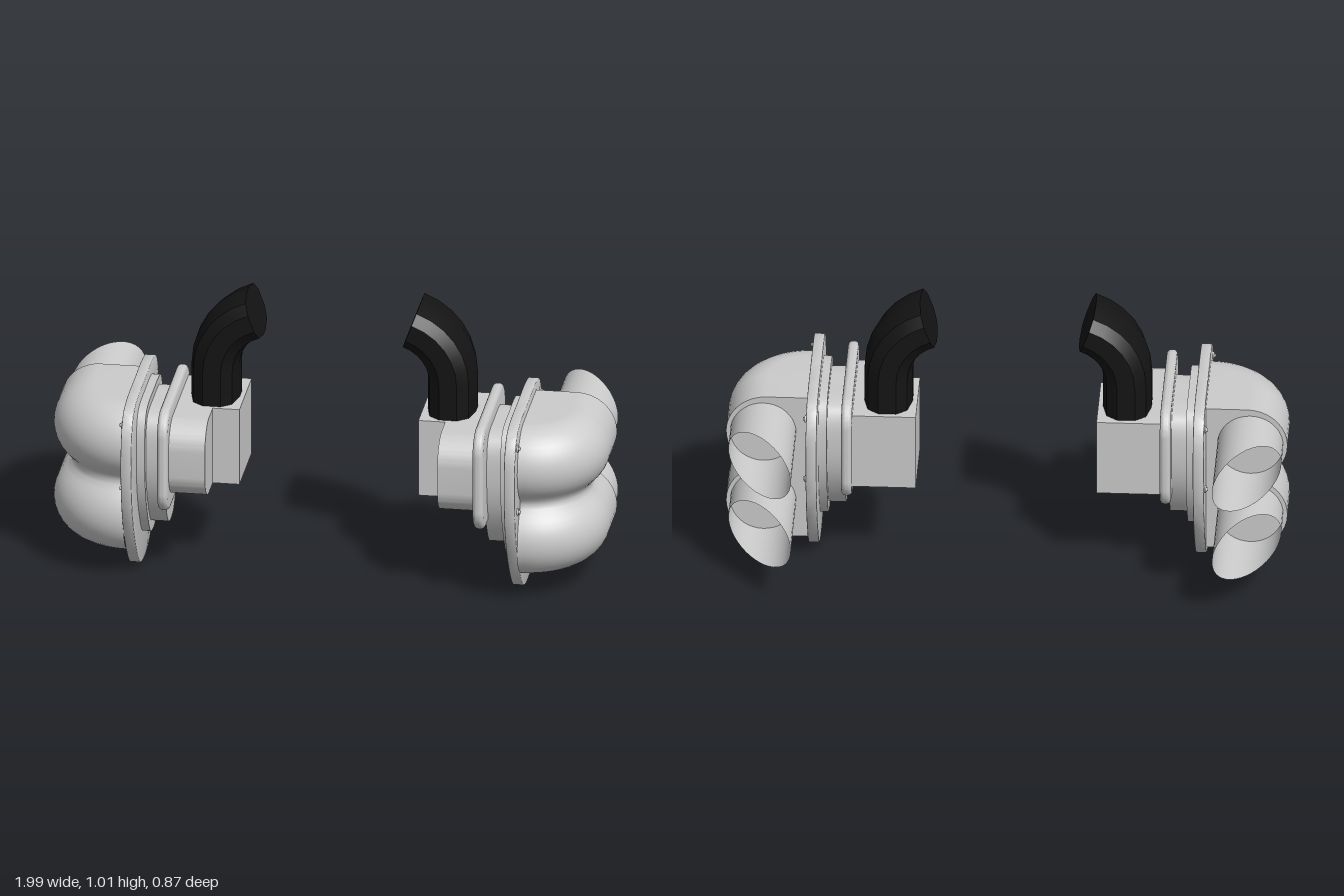
import * as THREE from 'three';
import { toCreasedNormals } from 'three/addons/utils/BufferGeometryUtils.js';

const grey = new THREE.MeshStandardMaterial({ color: 0xcccccc });
const greyThin = new THREE.MeshStandardMaterial({ color: 0xcccccc, side: THREE.DoubleSide });
const black = new THREE.MeshStandardMaterial({ color: 0x141414 });

function add(group, name, geometry, material = grey) {
  const mesh = new THREE.Mesh(geometry, material);
  mesh.name = name;
  group.add(mesh);
  return mesh;
}

// Skin between rows of points
function loft(rows) {
  const n = rows[0].length, index = [];
  for (let i = 0; i < rows.length - 1; i++) {
    for (let j = 0; j < n - 1; j++) {
      const a = i * n + j, b = a + n;
      index.push(a, b, b + 1, a, b + 1, a + 1);
    }
  }
  const g = new THREE.BufferGeometry().setFromPoints(rows.flat());
  g.setIndex(index);
  return g;
}

// Extrude an outline (drawn with shape x = -z) along x from x0 to x1
function slab(shape, x0, x1, bevel = 0) {
  const g = new THREE.ExtrudeGeometry(shape, {
    depth: x1 - x0 - 2 * bevel, bevelEnabled: bevel > 0, bevelSize: bevel,
    bevelThickness: bevel, bevelOffset: -bevel, bevelSegments: 4, curveSegments: 10,
  });
  g.translate(0, 0, x0 + bevel).rotateY(Math.PI / 2);
  return toCreasedNormals(g, 0.6);
}

// Shield outline, wide at the top and tapering to the bottom
function shield(halfWidth, y0, y1, zMid) {
  const half = [[0, 0], [0.1, 0.015], [0.165, 0.065], [0.27, 0.215], [0.315, 0.34],
    [0.327, 0.48], [0.312, 0.6], [0.265, 0.66], [0.19, 0.678], [0, 0.68]];
  const sx = halfWidth / 0.327, sy = (y1 - y0) / 0.68;
  const at = ([d, y], s) => new THREE.Vector3(s * d * sx - zMid, y0 + y * sy, 0);
  const loop = [...half.map(p => at(p, 1)), ...half.slice(1, -1).reverse().map(p => at(p, -1))];
  const curve = new THREE.CatmullRomCurve3(loop, true);
  return new THREE.Shape(curve.getPoints(72).slice(0, -1).map(p => new THREE.Vector2(p.x, p.y)));
}

// Rectangle with separate corner radii for the front (+z) and back ends
function roundRect(zBack, zFront, y0, y1, rFront, rBack) {
  const s = new THREE.Shape(), a = -zFront, b = -zBack;
  s.moveTo(a + rFront, y0);
  s.lineTo(b - rBack, y0);
  if (rBack) s.absarc(b - rBack, y0 + rBack, rBack, -Math.PI / 2, 0);
  s.lineTo(b, y1 - rBack);
  if (rBack) s.absarc(b - rBack, y1 - rBack, rBack, 0, Math.PI / 2);
  s.lineTo(a + rFront, y1);
  s.absarc(a + rFront, y1 - rFront, rFront, Math.PI / 2, Math.PI);
  s.lineTo(a, y0 + rFront);
  s.absarc(a + rFront, y0 + rFront, rFront, Math.PI, Math.PI * 1.5);
  return s;
}

// Twin-lobed housing: the profile turns a quarter circle, then runs straight back
function addHousing(group) {
  const xPlate = 0.705, zAxis = 0.08, zEnd = -0.075;
  const profile = [[0, 0.085]];
  const lobe = (yc, from, to) => {
    for (let i = 0; i <= 14; i++) {
      const a = THREE.MathUtils.degToRad(from + (to - from) * i / 14);
      profile.push([0.15 + 0.142 * Math.cos(a), yc + 0.142 * Math.sin(a)]);
    }
  };
  lobe(0.227, -90, 48);
  profile.push([0.228, 0.35], [0.224, 0.3675], [0.228, 0.385]);
  lobe(0.508, -48, 90);
  profile.push([0, 0.65]);
  const rows = [];
  for (let i = 0; i <= 20; i++) {
    const a = i / 20 * Math.PI / 2;
    rows.push(profile.map(([r, y]) =>
      new THREE.Vector3(xPlate + r * Math.sin(a), y, zAxis + r * Math.cos(a))));
  }
  rows.push(profile.map(([r, y]) => new THREE.Vector3(xPlate + r, y, zEnd)));
  const skin = loft(rows);
  skin.computeVertexNormals();
  add(group, 'exhaustHousing', skin);
  const end = new THREE.Shape(profile.map(([r, y]) => new THREE.Vector2(-xPlate - r, y)));
  add(group, 'housingBackFace', new THREE.ShapeGeometry(end).rotateY(Math.PI).translate(0, 0, zEnd));
}

// Open tail pipe, cut off at a slant
function addPipe(group, name, y) {
  const g = new THREE.CylinderGeometry(0.117, 0.117, 1, 40, 1, true);
  g.rotateX(-Math.PI / 2).translate(0.865, y, 0);
  const p = g.attributes.position;
  for (let i = 0; i < p.count; i++) {
    p.setZ(i, p.getZ(i) > 0 ? -0.07 : p.getX(i) - 1.183);
  }
  add(group, name, g, greyThin);
}

// Black oval hose that rises and bends inward
function addHose(group) {
  const quarter = [[0.086, 0.025], [0.07, 0.095], [0.032, 0.125]];
  const flip = (list, su, sw) => list.map(([u, w]) => [u * su, w * sw]);
  const back = [...quarter].reverse();
  const ring = [...quarter, ...flip(back, -1, 1), ...flip(quarter, -1, -1), ...flip(back, 1, -1)];
  ring.push(ring[0]);
  const section = (x, y, a) => ring.map(([u, w]) =>
    new THREE.Vector3(x + u * Math.cos(a), y + u * Math.sin(a), 0.025 + w));
  const R = 0.21, x0 = 0.424, yBend = 0.735, steps = 6, sweep = 1.24;
  const rows = [section(x0, 0.6, 0)];
  for (let i = 0; i <= steps; i++) {
    const a = sweep * i / steps;
    rows.push(section(x0 - R + R * Math.cos(a), yBend + R * Math.sin(a), a * 0.98));
  }
  // close the end at its centre
  const last = rows[rows.length - 1];
  const centre = last[0].clone().add(last[6]).multiplyScalar(0.5);
  rows.push(last.map(() => centre.clone()));
  add(group, 'hose', toCreasedNormals(loft(rows), 0.6), black);
}

function createUnit(name) {
  const unit = new THREE.Group();
  unit.name = name;

  // Mounting plate and the stepped gaskets behind it
  add(unit, 'mountingPlate', slab(shield(0.327, 0, 0.68, 0.107), 0.668, 0.707, 0.004));
  add(unit, 'outerGasket', slab(shield(0.214, 0.11, 0.64, 0.104), 0.638, 0.67));
  add(unit, 'innerGasket', slab(shield(0.187, 0.15, 0.61, 0.104), 0.575, 0.64));
  add(unit, 'innerFlange', slab(roundRect(-0.165, 0.39, 0.27, 0.66, 0.09, 0.09), 0.547, 0.585, 0.016));

  // Inlet body with its round front end, and the hose box
  add(unit, 'inletBody', slab(roundRect(-0.12, 0.352, 0.32, 0.608, 0.1, 0), 0.417, 0.55));
  add(unit, 'hoseBox', new THREE.BoxGeometry(0.15, 0.288, 0.285).translate(0.396, 0.464, 0.0225));

  addHousing(unit);
  addPipe(unit, 'upperTailPipe', 0.508);
  addPipe(unit, 'lowerTailPipe', 0.229);
  addHose(unit);

  // Bolts around the plate
  for (const [z, y] of [[0.373, 0.612], [0.373, 0.368], [-0.157, 0.612], [-0.157, 0.368], [0.107, 0.05]]) {
    const washer = new THREE.CylinderGeometry(0.013, 0.013, 0.008, 16).rotateZ(-Math.PI / 2);
    add(unit, 'boltWasher', washer.translate(0.709, y, z));
    const head = new THREE.CylinderGeometry(0.006, 0.008, 0.008, 6).rotateZ(-Math.PI / 2);
    add(unit, 'boltHead', head.translate(0.715, y, z));
  }
  return unit;
}

export function createModel() {
  const model = new THREE.Group();
  model.name = 'twinExhaustPair';
  const left = createUnit('leftExhaust');
  const right = createUnit('rightExhaust');
  right.scale.x = -1;
  model.add(left, right);
  return model;
}
